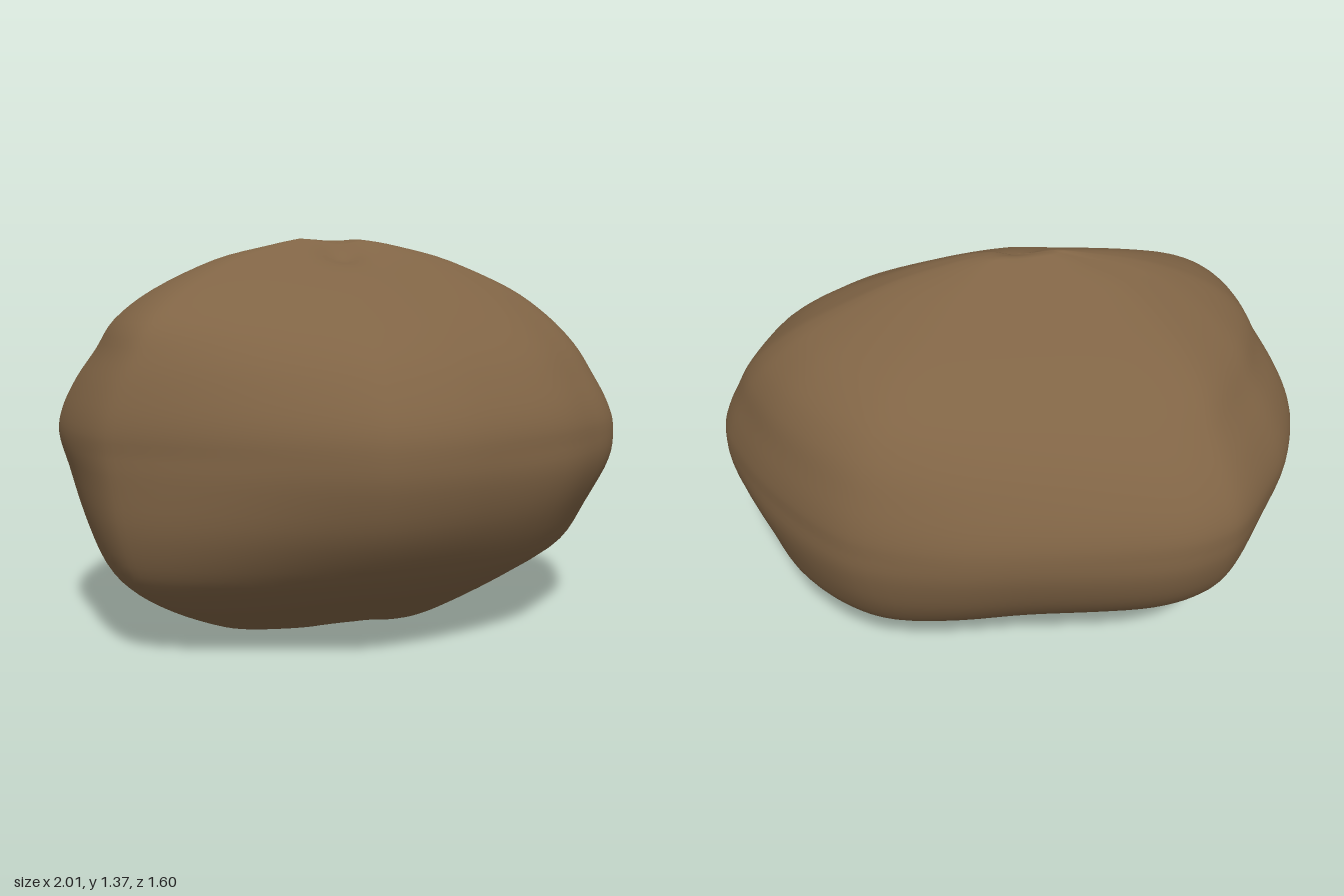
import * as THREE from 'three';

// Height, then the reach of the stone to -x, +x, +z and -z at that height
const LEVELS = [
  [0, 0.40, 0.32, 0.13, 0.17],
  [0.03, 0.48, 0.40, 0.20, 0.24],
  [0.1, 0.62, 0.54, 0.32, 0.36],
  [0.2, 0.77, 0.70, 0.49, 0.50],
  [0.3, 0.86, 0.835, 0.62, 0.63],
  [0.45, 0.925, 0.91, 0.735, 0.735],
  [0.6, 0.97, 0.985, 0.79, 0.79],
  [0.71, 1, 1, 0.80, 0.80],
  [0.8, 0.985, 0.975, 0.785, 0.785],
  [0.9, 0.935, 0.925, 0.735, 0.745],
  [1.0, 0.865, 0.87, 0.66, 0.69],
  [1.1, 0.80, 0.78, 0.54, 0.605],
  [1.2, 0.67, 0.64, 0.36, 0.46],
  [1.3, 0.46, 0.40, 0.16, 0.235],
  [1.35, 0.27, 0.20, 0.06, 0.11],
  [1.375, 0.16, 0.06, 0.01, 0.05],
];

// Plan outline (x, z) at the widest level, counter-clockwise from above
const OUTLINE = [
  [1, -0.03], [0.99, -0.15], [0.93, -0.27], [0.8, -0.45], [0.6, -0.65], [0.42, -0.76],
  [0.17, -0.8], [-0.1, -0.785], [-0.35, -0.765], [-0.55, -0.735], [-0.68, -0.68],
  [-0.77, -0.6], [-0.87, -0.42], [-0.95, -0.25], [-1, -0.03], [-0.99, 0.12],
  [-0.94, 0.3], [-0.86, 0.45], [-0.76, 0.53], [-0.55, 0.63], [-0.3, 0.72],
  [-0.05, 0.795], [0.08, 0.795], [0.25, 0.745], [0.42, 0.66], [0.65, 0.52],
  [0.8, 0.38], [0.93, 0.22],
];

const ROWS = 60, COLS = 112;
const bump = (x, z, cx, cz, r) => Math.exp(-((x - cx) ** 2 + (z - cz) ** 2) / (r * r));

function stoneGeometry() {
  const plan = new THREE.CatmullRomCurve3(
    OUTLINE.map(([x, z]) => new THREE.Vector3(x, 0, z / 0.8)), true, 'catmullrom')
    .getPoints(COLS).slice(0, COLS);
  const minus = new THREE.CatmullRomCurve3(
    LEVELS.map(l => new THREE.Vector3(l[1], l[0], l[4])), false, 'catmullrom');
  const plus = new THREE.CatmullRomCurve3(
    LEVELS.map(l => new THREE.Vector3(l[2], l[0], l[3])), false, 'catmullrom');

  // Rings from base to crown, with shrunken rings closing both ends
  const rings = [[0, 0], [0, 0.35], [0, 0.7]];
  for (let i = 0; i <= ROWS; i++) rings.push([i / ROWS, 1]);
  rings.push([1, 0.5], [1, 0]);

  const positions = [], indices = [];
  rings.forEach(([t, shrink], i) => {
    const lo = minus.getPoint(t), hi = plus.getPoint(t);
    const height = THREE.MathUtils.clamp(lo.y, 0, 1.375);

    // Away from the middle, sections lean to one diagonal and fill their corners
    const away = Math.abs(height - 0.7) / 0.65;
    const lean = (height > 0.7 ? -0.5 : -0.3) * away * away;
    const fill = (height > 0.7 ? 0.05 : 0.1) * away;
    const section = plan.map(({ x, z }) => {
      const full = 1 + fill * (2 * x * z / (x * x + z * z)) ** 2;
      return [x * full, (lean * x + Math.sqrt(1 - lean * lean) * z) * full];
    });
    const front = hi.z / Math.max(...section.map(s => s[1]));
    const back = -lo.z / Math.min(...section.map(s => s[1]));

    section.forEach(([u, v], j) => {
      const x = u * (u > 0 ? hi.x : lo.x) * shrink;
      const z = v * (v > 0 ? front : back) * shrink;
      let y = height;
      // Small dimples beside the crown and under the base
      if (y > 0.9) y -= 0.04 * bump(x, z, -0.02, 0.07, 0.08);
      if (y < 0.3) y += 0.04 * bump(x, z, 0, 0.05, 0.09);
      positions.push(x, y, z);
      if (i < rings.length - 1) {
        const a = i * COLS + j, b = i * COLS + (j + 1) % COLS;
        indices.push(a, b, b + COLS, a, b + COLS, a + COLS);
      }
    });
  });
  const geometry = new THREE.BufferGeometry();
  geometry.setAttribute('position', new THREE.Float32BufferAttribute(positions, 3));
  geometry.setIndex(indices);
  geometry.computeVertexNormals();
  return geometry;
}

export function createModel() {
  const brown = new THREE.MeshStandardMaterial({ color: 0x806445 });
  brown.name = 'earthBrown';
  const stone = new THREE.Mesh(stoneGeometry(), brown);
  stone.name = 'stone';
  const model = new THREE.Group();
  model.name = 'boulder';
  model.add(stone);
  return model;
}
